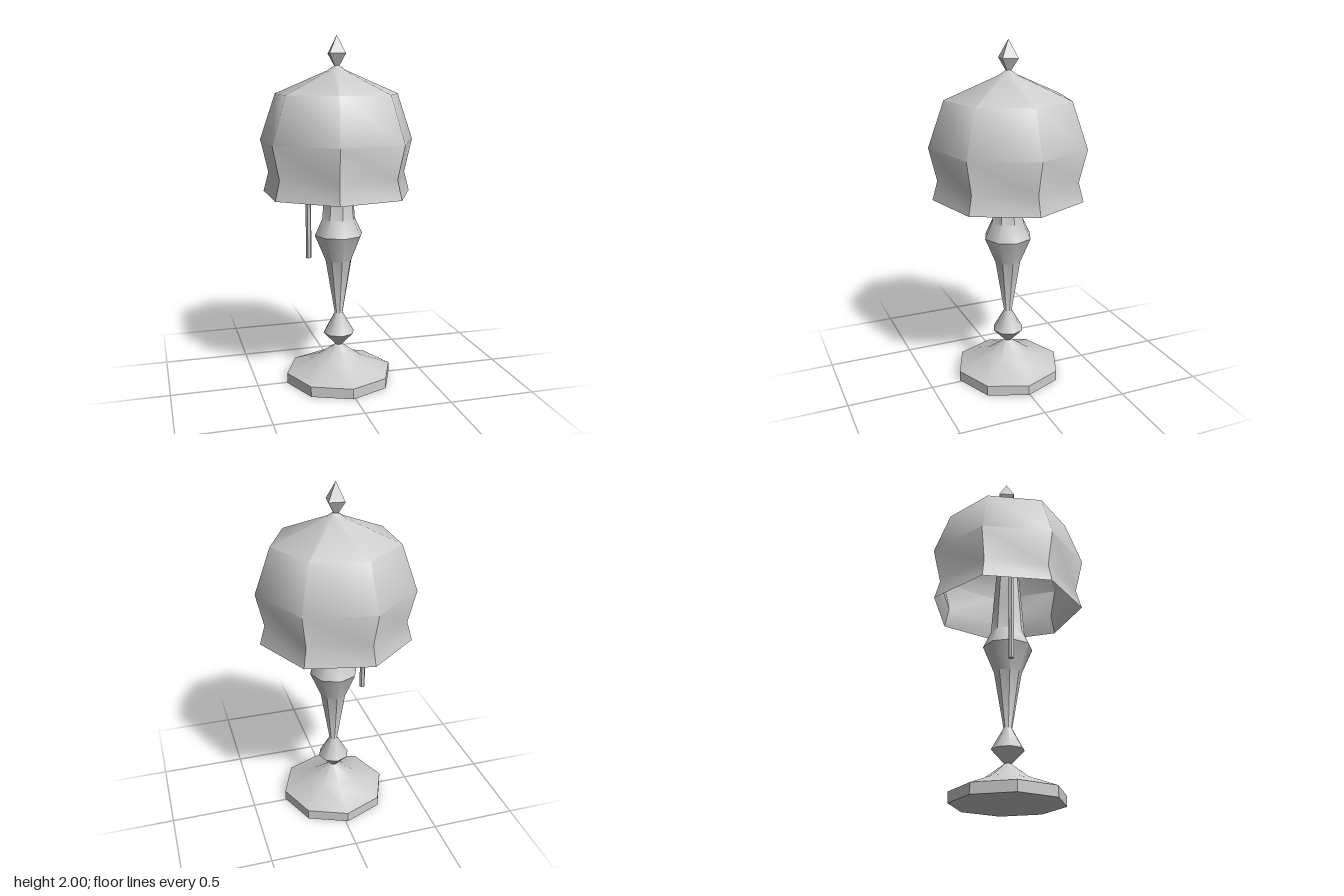
import * as THREE from 'three';
import { toCreasedNormals } from 'three/addons/utils/BufferGeometryUtils.js';

const deg = THREE.MathUtils.degToRad;

// Faceted turned part: profile is [radius, height] from bottom to top
function turned(name, profile, sides, startDeg, creaseDeg, side = THREE.FrontSide) {
  const points = profile.map(([r, y]) => new THREE.Vector2(r, y));
  const lathe = new THREE.LatheGeometry(points, sides, deg(startDeg));
  const material = new THREE.MeshStandardMaterial({ color: 0xcccccc, side });
  const mesh = new THREE.Mesh(toCreasedNormals(lathe, deg(creaseDeg)), material);
  mesh.name = name;
  return mesh;
}

export function createModel() {
  const lamp = new THREE.Group();
  lamp.name = 'tableLamp';

  // Eight-sided foot
  const base = turned('base', [
    [0, 0], [0.313, 0], [0.313, 0.06], [0.135, 0.13], [0.02, 0.215],
  ], 8, 90, 40);
  base.position.set(-0.013, 0, 0.008);

  // Baluster column, running up inside the shade to the finial
  const column = turned('column', [
    [0.02, 0.215], [0.092, 0.29], [0.024, 0.41], [0.078, 0.73],
    [0.141, 0.88], [0.097, 0.975], [0.086, 1.12], [0.03, 1.81], [0, 1.81],
  ], 8, 90, 42);
  column.position.set(-0.014, 0, 0.008);

  // Seven-sided bell shade, open at the bottom
  const shade = turned('shade', [
    [0.435, 1.12], [0.405, 1.23], [0.45, 1.42], [0.358, 1.68],
    [0.055, 1.808], [0.015, 1.835],
  ], 7, 90, 49, THREE.DoubleSide);
  shade.position.x = -0.021;

  // Four-sided pointed finial
  const finial = turned('finial', [
    [0, 1.825], [0.016, 1.83], [0.064, 1.9], [0, 2],
  ], 4, 38, 20);
  finial.position.x = -0.022;

  // Pull cord hanging from inside the shade
  const cord = turned('pullCord', [
    [0, 0.75], [0.016, 0.75], [0.016, 1.45], [0, 1.45],
  ], 6, 90, 40);
  cord.position.x = -0.19;

  lamp.add(base, column, shade, finial, cord);
  return lamp;
}
